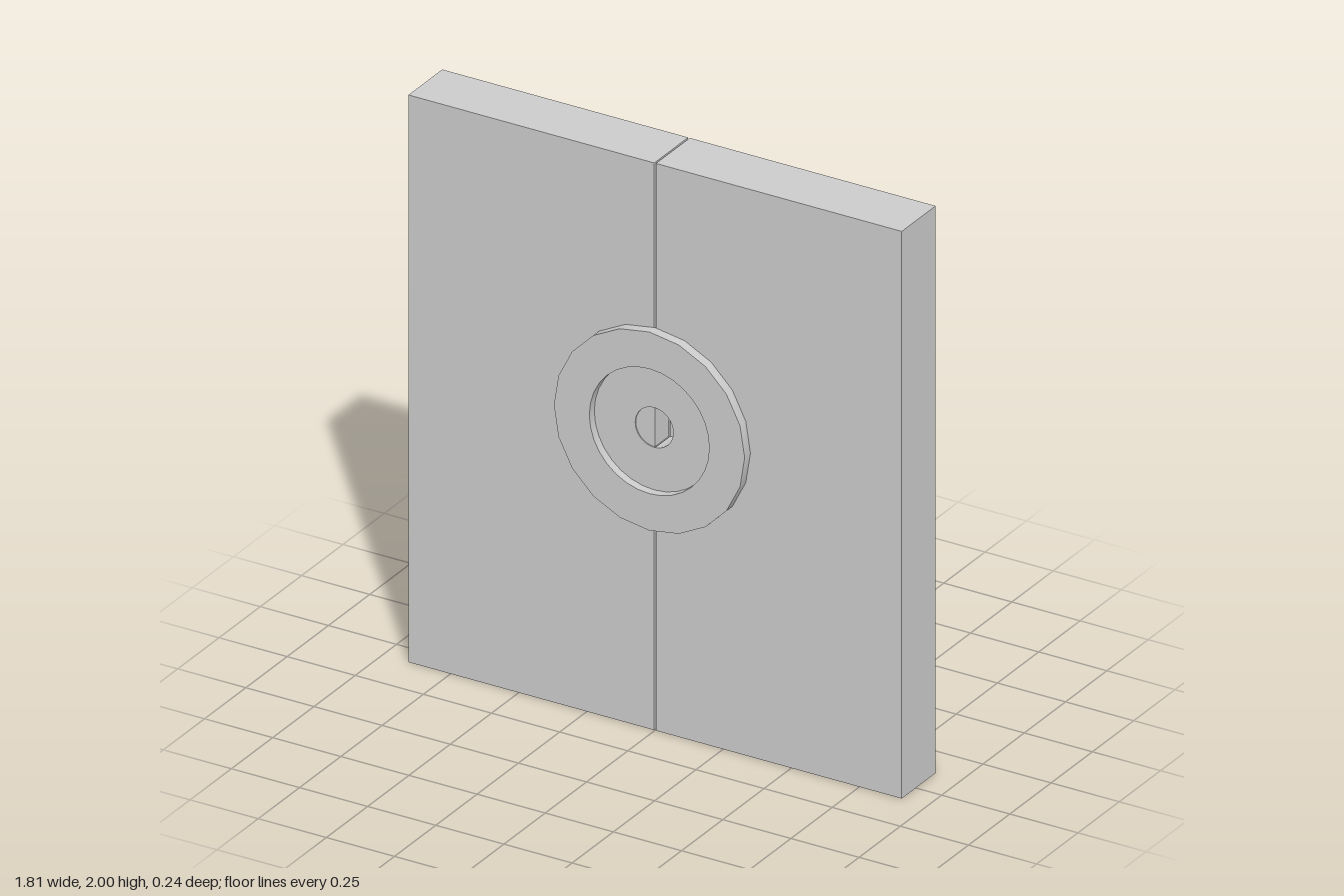
import * as THREE from 'three';
import { toCreasedNormals } from 'three/addons/utils/BufferGeometryUtils.js';

const HALF = 0.905, GAP = 0.003, HEIGHT = 2;
const BACK = -0.12, FRONT = 0.085, CY = 1.07, HOLE = 0.07;

// points along an arc around the lock centre
function arc(r, n, from = 0, to = Math.PI * 2, closed = true) {
  const pts = [];
  const count = closed ? n : n + 1;
  for (let i = 0; i < count; i++) {
    const a = from + (to - from) * i / n;
    pts.push(new THREE.Vector2(r * Math.cos(a), CY + r * Math.sin(a)));
  }
  return pts;
}

export function createModel() {
  const group = new THREE.Group();
  const material = new THREE.MeshStandardMaterial({ color: 0xcccccc });

  function add(name, geometry) {
    const mesh = new THREE.Mesh(geometry, material);
    mesh.name = name;
    group.add(mesh);
  }

  // flat outline, with optional hole, extruded between two z levels
  function slab(outline, hole, z0, z1) {
    const shape = new THREE.Shape(outline);
    if (hole) shape.holes.push(new THREE.Path(hole));
    const geometry = new THREE.ExtrudeGeometry(shape, { depth: z1 - z0, bevelEnabled: false });
    geometry.translate(0, 0, z0);
    return toCreasedNormals(geometry, 0.6);
  }

  // left and right are named from the model's own side
  const w = HALF - GAP;
  const rightDoor = new THREE.BoxGeometry(w, HEIGHT, FRONT - BACK);
  rightDoor.translate(-GAP - w / 2, HEIGHT / 2, (FRONT + BACK) / 2);
  add('rightDoor', rightDoor);

  // left door: solid rear half, front half with a half-round socket
  const rear = new THREE.BoxGeometry(w, HEIGHT, -BACK);
  rear.translate(GAP + w / 2, HEIGHT / 2, BACK / 2);
  add('leftDoorRear', rear);
  const notched = [
    new THREE.Vector2(GAP, 0), new THREE.Vector2(HALF, 0),
    new THREE.Vector2(HALF, HEIGHT), new THREE.Vector2(GAP, HEIGHT),
    ...arc(HOLE, 16, Math.PI / 2 - 0.043, -Math.PI / 2 + 0.043, false),
  ];
  add('leftDoorFront', slab(notched, null, 0, FRONT));

  // half-round bolt filling the other side of the socket
  add('bolt', slab(arc(HOLE, 16, Math.PI / 2, Math.PI * 1.5, false), null, 0, FRONT + 0.001));

  // round lock plate: raised rim around a recessed disc
  add('lockRim', slab(arc(0.35, 20), arc(0.22, 32), FRONT, 0.12));
  add('lockDisc', slab(arc(0.22, 32), arc(HOLE, 32), FRONT, FRONT + 0.005));

  return group;
}
